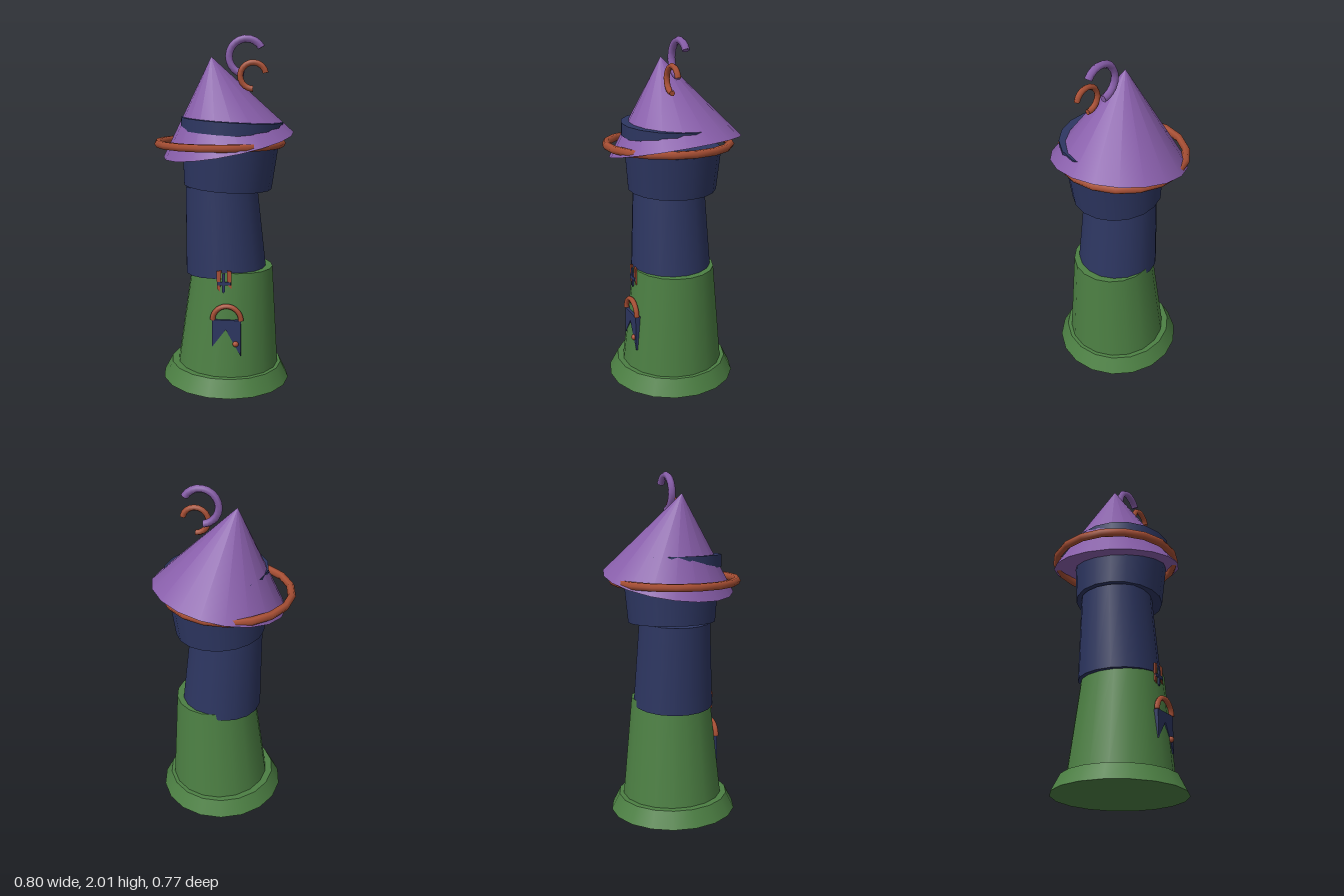
import * as THREE from 'three';

const SIDES = 18;
const UP = new THREE.Vector3(0, 1, 0);

function material(name, color) {
  const m = new THREE.MeshStandardMaterial({ color });
  m.name = name;
  return m;
}

export function createModel() {
  const group = new THREE.Group();
  const green = material('mossGreen', 0x4c7f43);
  const navy = material('navyBlue', 0x2d3661);
  const purple = material('roofPurple', 0x885eaa);
  const rust = material('rust', 0xa84f34);

  function add(name, geometry, mat, x = 0, y = 0, z = 0) {
    const mesh = new THREE.Mesh(geometry, mat);
    mesh.name = name;
    mesh.position.set(x, y, z);
    group.add(mesh);
    return mesh;
  }

  // Tapered drum running from one centre point to another, so it may lean
  function drum(name, mat, from, to, r0, r1, turn = 10) {
    const a = new THREE.Vector3(...from);
    const axis = new THREE.Vector3(...to).sub(a);
    const geo = new THREE.CylinderGeometry(r1, r0, axis.length(), SIDES);
    geo.rotateY(THREE.MathUtils.degToRad(turn));
    const mesh = add(name, geo, mat);
    mesh.position.copy(a).addScaledVector(axis, 0.5);
    mesh.quaternion.setFromUnitVectors(UP, axis.normalize());
    return mesh;
  }

  // Upright ring segment, angles in degrees from +x
  function hook(name, mat, x, y, z, radius, tube, start, sweep) {
    const rad = THREE.MathUtils.degToRad;
    const geo = new THREE.TorusGeometry(radius, tube, 6, 14, rad(sweep));
    geo.rotateZ(rad(start));
    const mesh = add(name, geo, mat, x, y, z);
    // Close both open ends
    for (const [deg, dir] of [[start, 1], [start + sweep, -1]]) {
      const cap = new THREE.Mesh(new THREE.CircleGeometry(tube, 6), mat);
      cap.name = name + 'End';
      cap.position.set(radius * Math.cos(rad(deg)), radius * Math.sin(rad(deg)), 0);
      const out = new THREE.Vector3(Math.sin(rad(deg)), -Math.cos(rad(deg)), 0).multiplyScalar(dir);
      cap.quaternion.setFromUnitVectors(new THREE.Vector3(0, 0, 1), out);
      mesh.add(cap);
    }
  }

  // Thin flat piece cut to an outline in front view
  function plate(name, mat, points, z, depth = 0.009) {
    const shape = new THREE.Shape(points.map(([x, y]) => new THREE.Vector2(x, y)));
    add(name, new THREE.ExtrudeGeometry(shape, { depth, bevelEnabled: false }), mat, 0, 0, z - depth);
  }

  // Crooked tower, bottom to top
  drum('foot', green, [0.012, 0, 0.015], [0.014, 0.095, 0.015], 0.375, 0.327);
  drum('lowerTower', green, [0.024, 0.08, 0.014], [0.05, 0.688, 0.015], 0.298, 0.236);
  drum('upperTower', navy, [0.012, 0.655, 0.015], [-0.017, 1.16, 0.015], 0.236, 0.208);
  drum('collar', navy, [0.02, 1.147, 0.01], [0.034, 1.385, 0.012], 0.255, 0.276);

  // Tilted roof with its band and loose ring
  drum('roof', purple, [0.022, 1.385, -0.01], [-0.07, 1.88, 0.037], 0.381, 0, -4.5);
  drum('roofBand', navy, [0.041, 1.46, 0.015], [0.045, 1.53, 0.015], 0.292, 0.292);
  const ring = add('roofRing', new THREE.TorusGeometry(0.355, 0.023, 6, SIDES), rust, -0.025, 1.397, 0.012);
  ring.rotation.x = Math.PI / 2;

  // Curls beside the roof tip
  hook('largeCurl', purple, 0.125, 1.88, 0.015, 0.098, 0.021, 30, 232);
  hook('smallCurl', rust, 0.168, 1.775, 0.075, 0.072, 0.0165, 12, 258);

  // Door with arch and knob
  plate('door', navy, [[-0.038, 0.425], [-0.038, 0.265], [0.04, 0.37], [0.125, 0.215], [0.125, 0.425]], 0.288, 0.03);
  hook('doorArch', rust, 0.045, 0.425, 0.281, 0.08, 0.015, 0, 180);
  add('doorKnob', new THREE.SphereGeometry(0.017, 10, 8), rust, 0.096, 0.287, 0.288);

  // Small window: two frame slivers and a cross
  plate('windowFrameRight', rust, [[-0.015, 0.7], [-0.012, 0.6], [0.004, 0.585], [0.012, 0.705]], 0.262);
  plate('windowFrameLeft', rust, [[0.045, 0.705], [0.045, 0.625], [0.07, 0.6], [0.07, 0.7]], 0.262);
  plate('windowPost', navy, [[0.017, 0.69], [0.017, 0.585], [0.025, 0.575], [0.034, 0.585], [0.034, 0.69]], 0.268);
  plate('windowBar', navy, [[-0.008, 0.64], [-0.008, 0.622], [0.066, 0.622], [0.066, 0.64]], 0.267);

  return group;
}
